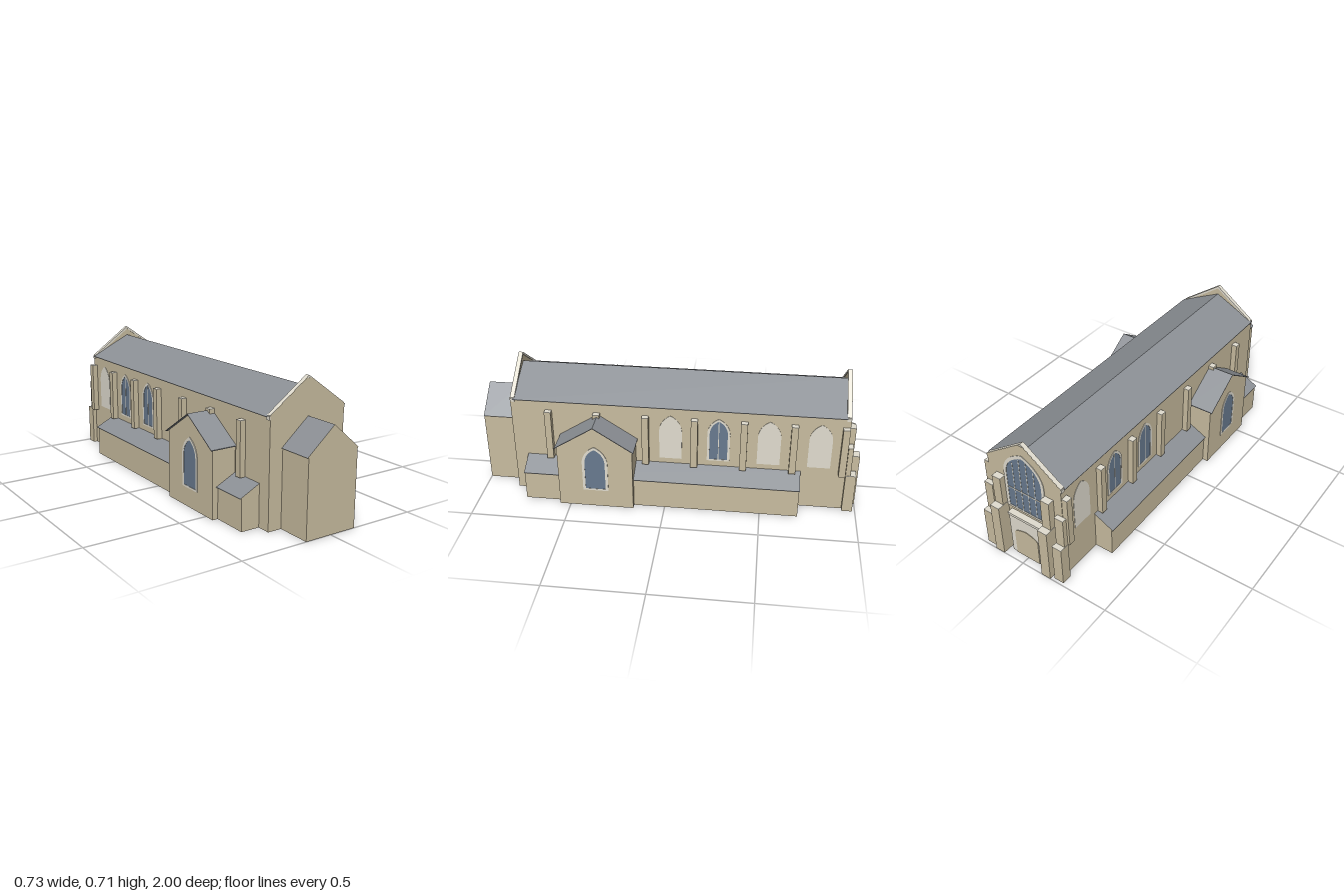
import * as THREE from 'three';

const mat = (name, color) => {
  const m = new THREE.MeshStandardMaterial({ color });
  m.name = name;
  return m;
};

export function createModel() {
  const stone = mat('sandstone', 0xc8bc9f);
  const pale = mat('pale stone', 0xe0dccf);
  const slate = mat('slate', 0x8c9095);
  const glass = mat('glass', 0x687a8f);
  stone.side = THREE.DoubleSide; // the walls are open shells underneath
  const root = new THREE.Group();
  root.name = 'church';

  const add = (name, geo, material, parent = root) => {
    const m = new THREE.Mesh(geo, material);
    m.name = name;
    parent.add(m);
    return m;
  };
  const shapeOf = (pts) => new THREE.Shape(pts.map(([x, y]) => new THREE.Vector2(x, y)));
  const extrude = (shape, z0, z1) => {
    const geo = new THREE.ExtrudeGeometry(shape, { depth: z1 - z0, bevelEnabled: false, curveSegments: 8 });
    return geo.translate(0, 0, z0);
  };
  // Extrude a shape from z0 to z1
  const prism = (name, shape, z0, z1, material, parent) => add(name, extrude(shape, z0, z1), material, parent);
  // Same, in stone and without the floor
  const shell = (name, shape, z0, z1, parent) => {
    const src = extrude(shape, z0, z1).getAttribute('position');
    const pts = [];
    for (let i = 0; i < src.count; i += 3) {
      if (Math.max(src.getY(i), src.getY(i + 1), src.getY(i + 2)) < 1e-5) continue;
      for (let k = i; k < i + 3; k++) pts.push(src.getX(k), src.getY(k), src.getZ(k));
    }
    const geo = new THREE.BufferGeometry();
    geo.setAttribute('position', new THREE.Float32BufferAttribute(pts, 3));
    geo.computeVertexNormals();
    return add(name, geo, stone, parent);
  };
  // Box given by its limits
  const block = (name, x0, x1, y0, y1, z0, z1, material = stone, parent = root) => {
    const m = add(name, new THREE.BoxGeometry(x1 - x0, y1 - y0, z1 - z0), material, parent);
    m.position.set((x0 + x1) / 2, (y0 + y1) / 2, (z0 + z1) / 2);
  };
  // Stone pier with a thin pale cap
  const pier = (name, x0, x1, y0, y1, z0, z1) => {
    block(name, x0, x1, y0, y1 - 0.003, z0, z1);
    block(name + 'Cap', x0, x1, y1 - 0.003, y1, z0, z1, pale);
  };
  const house = (w, eave, ridge) => shapeOf([[-w, 0], [w, 0], [w, eave], [0, ridge], [-w, eave]]);
  const chevron = (w, eave, ridge, t) =>
    shapeOf([[w, eave], [0, ridge], [-w, eave], [-w, eave - t], [0, ridge - t], [w, eave - t]]);
  // Pointed arch outline of half width w
  const arch = (w, base, spring, top) => {
    const s = new THREE.Shape(), h = top - spring;
    s.moveTo(-w, base);
    s.lineTo(w, base);
    s.lineTo(w, spring);
    s.bezierCurveTo(w, spring + h * 0.5, w * 0.5, spring + h * 0.85, 0, top);
    s.bezierCurveTo(-w * 0.5, spring + h * 0.85, -w, spring + h * 0.5, -w, spring);
    return s;
  };
  // Framed window facing +z in its own group
  const makeWindow = (name, w, base, spring, top, f, bars, transom) => {
    const g = new THREE.Group();
    g.name = name;
    const frame = arch(w, base, spring, top);
    frame.holes.push(arch(w - f, base + f * 0.7, spring, top - f * 1.1));
    prism('windowFrame', frame, 0, 0.003, pale, g);
    prism('windowGlass', arch(w - f / 2, base + f / 3, spring, top - f / 2), 0, 0.0015, glass, g);
    const iw = w - f;
    for (let i = 1; i <= bars; i++) {
      const x = -iw + (2 * iw * i) / (bars + 1);
      const yTop = spring + (top - f - spring) * Math.pow(1 - Math.abs(x) / iw, 0.6);
      block('mullion', x - 0.002, x + 0.002, base + f / 2, yTop, 0, 0.0028, pale, g);
    }
    if (transom) block('transom', -iw, iw, transom - 0.003, transom + 0.003, 0, 0.0028, pale, g);
    root.add(g);
    return g;
  };

  // Nave
  shell('naveWalls', house(0.22, 0.55, 0.655), -0.93, 0.82);
  prism('naveRoof', chevron(0.231, 0.549, 0.662, 0.002), -0.91, 0.805, slate);

  // Raised gables with copings and kneelers
  for (const end of [1, -1]) {
    const g = new THREE.Group();
    g.name = end > 0 ? 'frontGable' : 'backGable';
    if (end < 0) {
      g.rotation.y = Math.PI;
      g.position.z = -0.11;
    }
    prism('gableWall', shapeOf([[-0.22, 0.5], [0.22, 0.5], [0.22, 0.554], [0.0165, 0.7], [-0.0165, 0.7], [-0.22, 0.554]]),
      0.80, 0.8205, stone, g);
    prism('gableCoping', chevron(0.221, 0.555, 0.713, 0.014), 0.797, 0.8195, pale, g);
    for (const s of [1, -1])
      block('kneeler', s * 0.2185 - 0.0065, s * 0.2185 + 0.0065, 0.533, 0.551, 0.797, 0.8195, pale, g);
    root.add(g);
  }

  // Front porch, roof with stone gable ends
  shell('porchWalls', shapeOf([[-0.145, 0], [0.145, 0], [0.145, 0.393], [-0.145, 0.393]]), 0.82, 1);
  prism('porchRoof', shapeOf([[-0.152, 0.393], [0.152, 0.393], [0, 0.523]]), 0.82, 1, [stone, slate]);

  for (const s of [1, -1]) {
    // Transept
    const transept = new THREE.Group();
    transept.name = s > 0 ? 'leftTransept' : 'rightTransept';
    transept.rotation.y = s * Math.PI / 2;
    transept.position.z = 0.36;
    shell('transeptWalls', house(0.197, 0.354, 0.481), 0.22, 0.35, transept);
    prism('transeptRoof', chevron(0.206, 0.352, 0.485, 0.004), 0.22, 0.364, slate, transept);
    root.add(transept);
    const tw = makeWindow('transeptWindow', 0.067, 0.1, 0.265, 0.365, 0.014, 0);
    tw.rotation.y = s * Math.PI / 2;
    tw.position.set(s * 0.35, 0, 0.36);

    // Aisle with lean-to roof
    shell('aisleWalls', shapeOf([[s * 0.22, 0], [s * 0.32, 0], [s * 0.32, 0.166], [s * 0.22, 0.216]]), -0.698, 0.749);
    prism('aisleRoof', shapeOf([[s * 0.22, 0.216], [s * 0.22, 0.218], [s * 0.329, 0.1635], [s * 0.329, 0.1615]]),
      -0.70, 0.75, [stone, slate]);

    // Clerestory buttresses
    for (let i = 0; i < 7; i++) {
      const z = 0.62 - i * 0.255;
      pier('buttress', s * 0.2345 - 0.0155, s * 0.2345 + 0.0155, 0.216, 0.495, z - 0.0175, z + 0.0175);
    }

    // Clerestory windows, some blocked up
    const bays = s > 0 ? [[-0.02, 0], [-0.27, 1], [-0.53, 0], [-0.79, 0]] : [[-0.27, 1], [-0.53, 1], [-0.79, 0]];
    for (const [z, glazed] of bays) {
      const w = glazed
        ? makeWindow('clerestoryWindow', 0.059, 0.25, 0.41, 0.5, 0.012, 1)
        : prism('blockedWindow', arch(0.059, 0.247, 0.41, 0.502), 0, 0.002, pale);
      w.rotation.y = s * Math.PI / 2;
      w.position.set(s * 0.22, 0, z);
    }

    // Stepped buttresses on the back wall: centre x, tall top, tall z, low top, low z
    for (const [x, h1, z1, h2, z2] of [[0.147, 0.465, -0.965, 0.30, -1], [0.215, 0.385, -0.955, 0.22, -0.985]]) {
      const cx = s * x;
      pier('backButtressUpper', cx - 0.025, cx + 0.025, 0, h1, z1, -0.93);
      pier('backButtressLower', cx - 0.027, cx + 0.027, 0, h2, z2, -0.93);
    }
  }

  // Great back window
  const great = makeWindow('backWindow', 0.122, 0.28, 0.5, 0.645, 0.017, 4, 0.41);
  great.rotation.y = Math.PI;
  great.position.z = -0.9305;

  // Back doorway: pale surround, slab and flat-arched door
  block('doorSurround', -0.1, 0.1, 0, 0.25, -0.955, -0.93, pale);
  block('doorSlab', -0.1, 0.1, 0.25, 0.265, -0.963, -0.93, pale);
  const door = prism('backDoor', arch(0.072, 0, 0.14, 0.175), 0, 0.003, stone);
  door.rotation.y = Math.PI;
  door.position.z = -0.955;

  return root;
}
